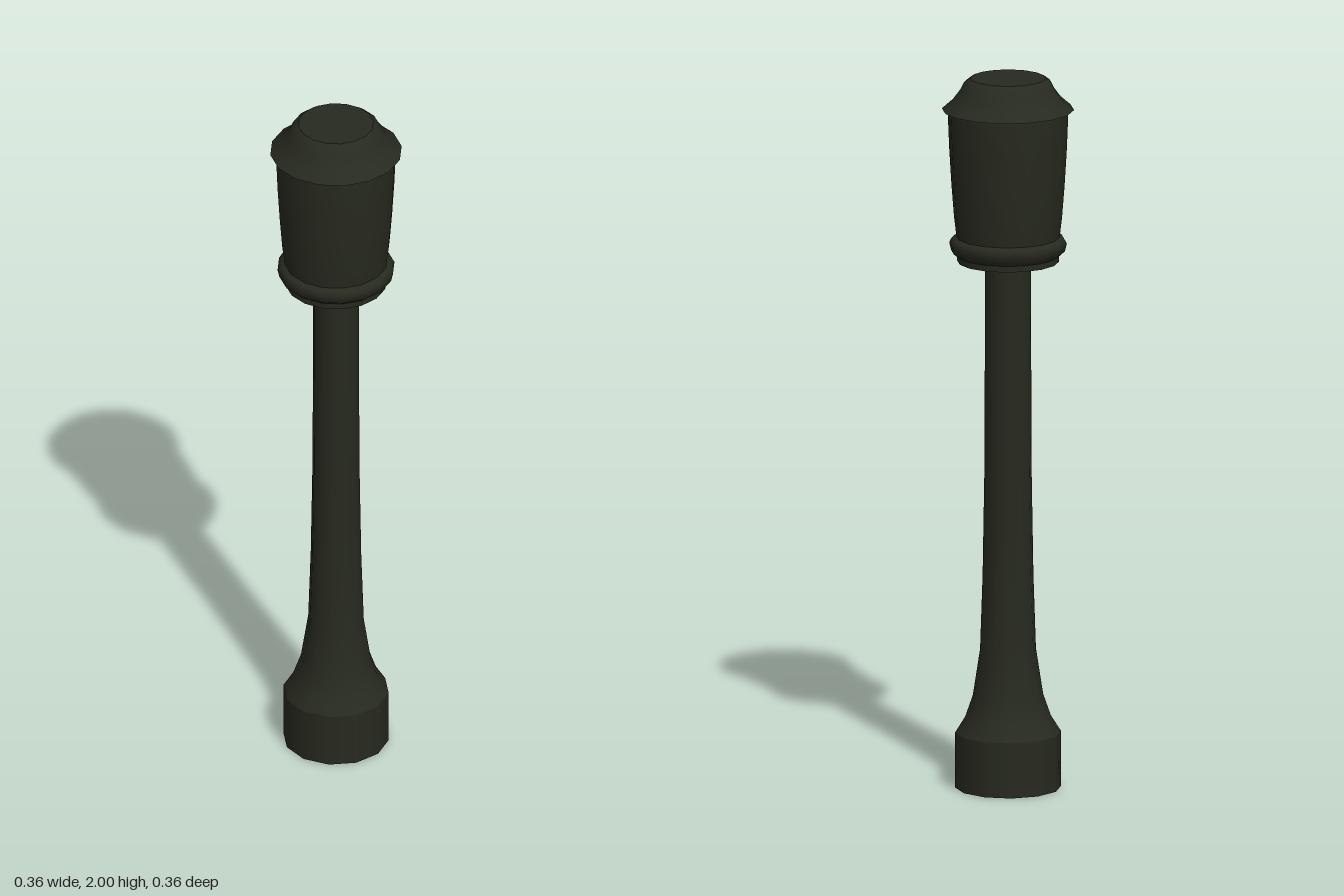
import * as THREE from 'three';

const material = new THREE.MeshStandardMaterial({ color: 0x272a1f });

// Turned part: each run of [radius, y] points is smooth, with sharp edges between runs.
function turned(name, sides, runs) {
  const part = new THREE.Group();
  part.name = name;
  runs.forEach((run, i) => {
    const points = run.map(([r, y]) => new THREE.Vector2(r, y));
    const mesh = new THREE.Mesh(new THREE.LatheGeometry(points, sides), material);
    mesh.name = `${name}Surface${i + 1}`;
    part.add(mesh);
  });
  return part;
}

export function createModel() {
  const model = new THREE.Group();
  model.name = 'stickWithCylindricalHead';

  // Handle: slim shaft flaring into a straight-sided foot
  model.add(turned('handle', 12, [
    [[0, 0], [0.146, 0]],
    [[0.146, 0], [0.146, 0.155]],
    [[0.146, 0.155], [0.118, 0.2], [0.097, 0.26], [0.077, 0.39], [0.07, 0.6],
      [0.065, 0.9], [0.064, 1.2], [0.064, 1.5]],
  ]));

  // Collar: rounded ring closing the underside of the head
  model.add(turned('collar', 16, [
    [[0, 1.483], [0.14, 1.483]],
    [[0.14, 1.483], [0.14, 1.5]],
    [[0.14, 1.5], [0.157, 1.513], [0.162, 1.535], [0.155, 1.548], [0.142, 1.553]],
  ]));

  // Canister: slightly tapered body
  model.add(turned('canister', 16, [
    [[0.142, 1.55], [0.149, 1.61], [0.156, 1.7], [0.162, 1.8], [0.166, 1.9], [0.164, 1.913]],
  ]));

  // Cap: overhanging rim, domed shoulder and flat top
  model.add(turned('cap', 16, [
    [[0.15, 1.915], [0.182, 1.912]],
    [[0.182, 1.912], [0.153, 1.937], [0.13, 1.968], [0.121, 1.987], [0.104, 2]],
    [[0.104, 2], [0, 2]],
  ]));

  return model;
}
